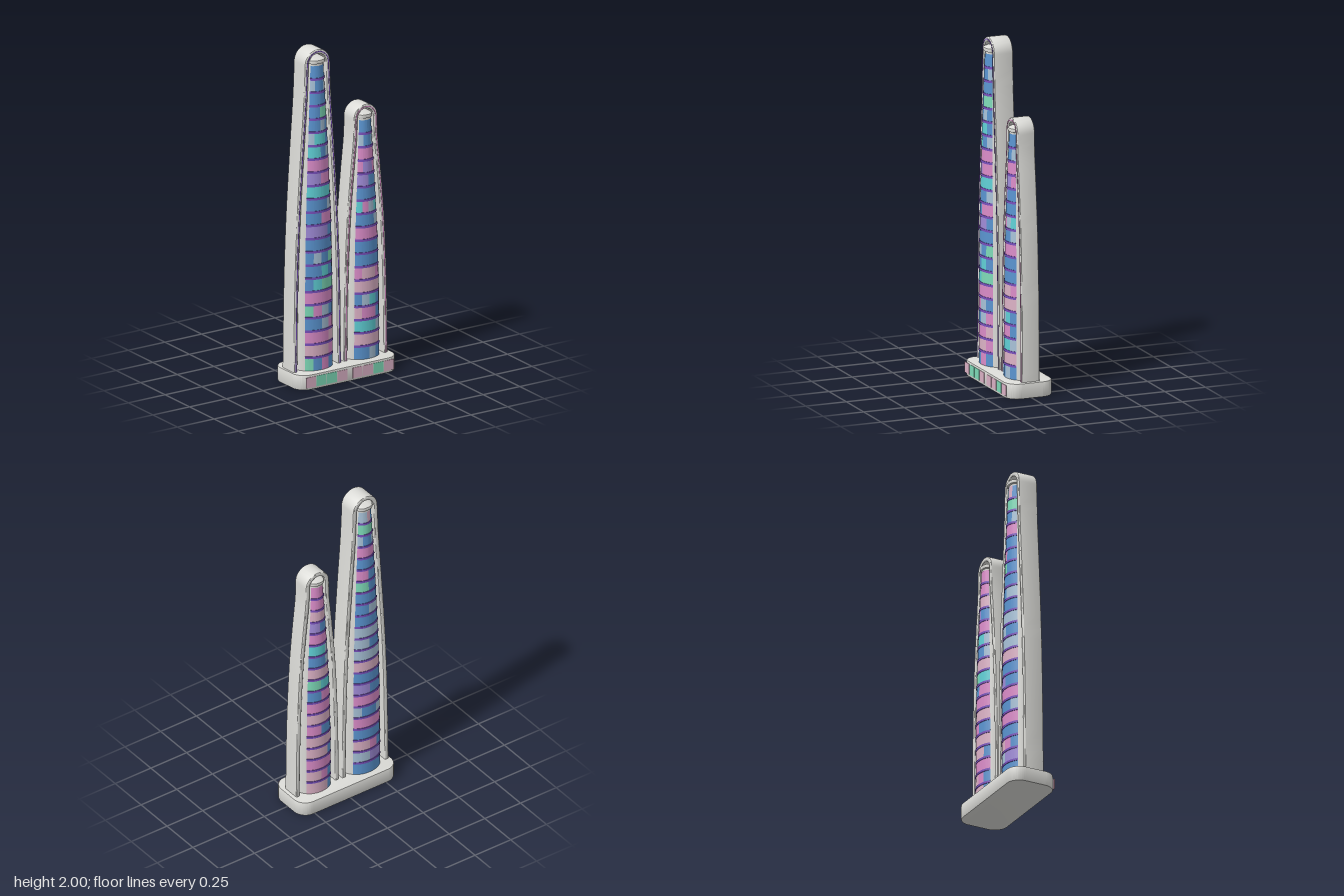
import * as THREE from 'three';
import { mergeGeometries, toCreasedNormals } from 'three/addons/utils/BufferGeometryUtils.js';

const mat = (name, color) => new THREE.MeshStandardMaterial({ name, color, side: THREE.DoubleSide });
const stone = mat('pale stone', 0xdcdcd8);
const trim = mat('purple trim', 0x7850bc);
const glass = {
  b: mat('blue', 0x5a94d0), t: mat('teal', 0x60d0d6), m: mat('pink', 0xda8cc8), p: mat('light pink', 0xdcb2c6),
  a: mat('pale blue', 0xa8c2d8), g: mat('green', 0x7edab8), v: mat('lavender', 0xa08cd8),
};

const BASE = 0.09, Z = -0.003;

function add(group, name, geometry, material) {
  const mesh = new THREE.Mesh(geometry, material);
  mesh.name = name;
  group.add(mesh);
  return mesh;
}

// Piecewise linear lookup in [[x, y], ...]
function lookup(table, x) {
  for (let i = 1; i < table.length; i++) {
    const [x0, y0] = table[i - 1], [x1, y1] = table[i];
    if (x <= x1) return y0 + (y1 - y0) * (x - x0) / (x1 - x0);
  }
  return table[table.length - 1][1];
}

// Half width and half depth of the elliptical shaft, by relative height
const shaftWidth = [[0, 0.125], [0.28, 0.122], [0.5, 0.112], [0.72, 0.09], [0.88, 0.071], [1, 0.057]];
const shaftDepth = [[0, 0.1], [0.28, 0.099], [0.5, 0.095], [0.72, 0.088], [0.88, 0.08], [1, 0.072]];

// Curved wall on the shaft: rows of [outward offset, y], swept from angle t0 to t1 (0 is the front)
function wall(tower, rows, t0, t1, cols) {
  const pos = [], index = [], n = cols + 1;
  rows.forEach(([off, y], r) => {
    const h = (y - BASE) / (tower.bodyTop - BASE);
    const a = lookup(shaftWidth, h) * tower.scale + off, b = lookup(shaftDepth, h) * tower.depthScale + off;
    for (let c = 0; c <= cols; c++) {
      const t = t0 + (t1 - t0) * c / cols;
      pos.push(a * Math.sin(t), y, b * Math.cos(t));
      if (r && c) {
        const k = r * n + c;
        index.push(k - n - 1, k - n, k - 1, k - n, k, k - 1);
      }
    }
  });
  const geo = new THREE.BufferGeometry();
  geo.setAttribute('position', new THREE.Float32BufferAttribute(pos, 3));
  geo.setIndex(index);
  return toCreasedNormals(geo, 0.6);
}

// Arched band: tall legs that lean in and join in a half circle
function archGeometry(tower, inset, thick, depth, bevel) {
  const r = tower.legs[tower.legs.length - 1][1], yc = tower.top - r;
  const curve = new THREE.SplineCurve(tower.legs.map(([y, w]) => new THREE.Vector2(w, Math.min(y, yc))));
  const legs = curve.getPoints(28);
  const side = (d) => {
    const right = legs.map((p) => new THREE.Vector2(p.x - d, p.y));
    const left = right.map((p) => new THREE.Vector2(-p.x, p.y)).reverse();
    const arc = [];
    for (let i = 1; i < 24; i++) {
      const t = Math.PI * i / 24;
      arc.push(new THREE.Vector2((r - d) * Math.cos(t), yc + (r - d) * Math.sin(t)));
    }
    return [...right, ...arc, ...left];
  };
  const shape = new THREE.Shape([...side(inset + bevel), ...side(inset + thick - bevel).reverse()]);
  const geo = new THREE.ExtrudeGeometry(shape, {
    depth: depth - 2 * bevel, bevelEnabled: bevel > 0, bevelThickness: bevel, bevelSize: bevel, bevelSegments: 3,
  });
  geo.translate(0, 0, bevel);
  return toCreasedNormals(geo, 0.5);
}

// Low cap: a turned profile pushed out to a rounded rectangle in plan
function capGeometry(halfWidth, halfDepth) {
  const profile = [[0, 0], [0.86, 0], [0.86, 0.012], [0.97, 0.015], [1, 0.025], [0.97, 0.035], [0.8, 0.042], [0.4, 0.047], [0, 0.049]];
  const geo = new THREE.LatheGeometry(profile.map(([x, y]) => new THREE.Vector2(x, y)), 48);
  const pos = geo.attributes.position;
  for (let i = 0; i < pos.count; i++) {
    const x = pos.getX(i), z = pos.getZ(i), r = Math.hypot(x, z);
    const k = r > 0 ? r / (Math.abs(x) ** 3 + Math.abs(z) ** 3) ** (1 / 3) : 0;
    pos.setXYZ(i, x * k * halfWidth, pos.getY(i), z * k * halfDepth);
  }
  return toCreasedNormals(geo, 0.7);
}

function buildTower(tower) {
  const g = new THREE.Group();
  g.name = tower.name;
  g.position.set(tower.x, 0, Z);
  const floors = tower.front.length;
  const step = (tower.bodyTop - BASE) / floors;

  // Plain shaft
  const rows = [];
  for (let i = 0; i <= floors; i++) rows.push([0, BASE + i * step]);
  add(g, 'shaft', wall(tower, rows, -Math.PI, Math.PI, 64), stone);

  // Coloured glazing on the front and back, four panes to a floor, with a purple ledge between floors
  const panes = {}, ledges = [], half = 0.83;
  [tower.front, tower.back].forEach((pattern, s) => {
    const mid = s * Math.PI;
    pattern.forEach((word, i) => {
      const y0 = BASE + i * step, y1 = y0 + step;
      for (let c = 0; c < 4; c++) {
        const t0 = mid - half + c * half / 2;
        const key = word[c % word.length];
        (panes[key] ??= []).push(wall(tower, [[0.002, y0], [0.002, y1]], t0, t0 + half / 2, 5));
      }
      if (i < floors - 1) {
        const ledge = [[0, y1 - 0.007], [0.005, y1 - 0.007], [0.005, y1 + 0.007], [0, y1 + 0.007]];
        ledges.push(wall(tower, ledge, mid - half, mid + half, 20));
      }
    });
  });
  for (const key in panes) add(g, `${glass[key].name} panes`, mergeGeometries(panes[key]), glass[key]);
  add(g, 'floor ledges', mergeGeometries(ledges), trim);

  // Cap
  const cap = add(g, 'cap', capGeometry(0.057 * tower.scale, 0.081 * tower.depthScale), stone);
  cap.position.y = tower.bodyTop - 0.002;

  // Arched band with a coloured line along its front edge
  const arch = add(g, 'archBand', archGeometry(tower, 0, 0.026, tower.band, 0.008), stone);
  arch.position.z = -tower.band / 2;
  const line = add(g, 'archLine', archGeometry(tower, 0.0105, 0.005, 0.003, 0), tower.line);
  line.position.z = tower.band / 2 - 0.001;
  return g;
}

export function createModel() {
  const model = new THREE.Group();
  model.name = 'twinTowers';

  // Base slab with rounded corners
  const w = 0.335, d = 0.138, r = 0.075, bev = 0.005;
  const s = new THREE.Shape();
  s.absarc(w - r, d - r, r, 0, Math.PI / 2);
  s.absarc(r - w, d - r, r, Math.PI / 2, Math.PI);
  s.absarc(r - w, r - d, r, Math.PI, Math.PI * 1.5);
  s.absarc(w - r, r - d, r, Math.PI * 1.5, Math.PI * 2);
  const slab = new THREE.ExtrudeGeometry(s, {
    depth: BASE - 2 * bev, bevelThickness: bev, bevelSize: bev, bevelSegments: 2, curveSegments: 12,
  });
  slab.rotateX(-Math.PI / 2).translate(0, bev, Z);
  add(model, 'base', toCreasedNormals(slab, 0.5), stone);

  // Row of coloured tiles along the front of the base
  [...'pggpppgp'].forEach((key, i) => {
    const tile = add(model, 'baseTile', new THREE.BoxGeometry(0.066, 0.062, 0.004), glass[key]);
    tile.position.set((i < 4 ? -0.267 : 0.05) + (i % 4) * 0.0715, 0.046, 0.1405);
  });

  // Floor colours run from the bottom up, left to right as seen from outside
  model.add(buildTower({
    name: 'tallTower', x: -0.164, top: 2, bodyTop: 1.907, scale: 1, depthScale: 1, band: 0.12, line: trim,
    legs: [[BASE, 0.163], [0.6, 0.155], [1, 0.14], [1.4, 0.115], [1.7, 0.094], [1.915, 0.085]],
    front: ['gbmb', 'pppm', 'mmmp', 'bbam', 'gmab', 'mmmm', 'btgg', 'bbtb', 'babg', 'b', 'vvvb', 'bbmm',
      'bbba', 't', 'vvmm', 'm', 'ttba', 'attb', 'bbab', 'bbgg', 'b', 'abba', 'b'],
    back: ['b', 'aavv', 'ppmb', 'b', 'm', 'abba', 'm', 'vvbb', 'b', 'p', 'a', 'aabb', 'a', 'b', 'bbaa',
      'b', 'ggbb', 'mmbb', 'b', 'm', 'abba', 'g', 'aapb'],
  }));
  model.add(buildTower({
    name: 'shortTower', x: 0.167, top: 1.605, bodyTop: 1.515, scale: 0.9, depthScale: 0.9, band: 0.11, line: glass.m,
    legs: [[BASE, 0.15], [0.5, 0.144], [0.9, 0.128], [1.2, 0.104], [1.4, 0.084], [1.525, 0.08]],
    front: ['bbab', 'p', 'ttta', 'pmmb', 'batb', 'p', 'mppm', 'b', 'b', 'm', 'bbba', 'tmat', 'b', 'vvbb',
      'mvvm', 'm', 'abba', 'b'],
    back: ['pppb', 'ppmb', 'm', 'pppb', 'p', 'mmbb', 'p', 'm', 'bbmm', 'ggtt', 'p', 'bbba', 'ttta', 'm',
      'vvbb', 'p', 'm', 'm'],
  }));
  return model;
}
